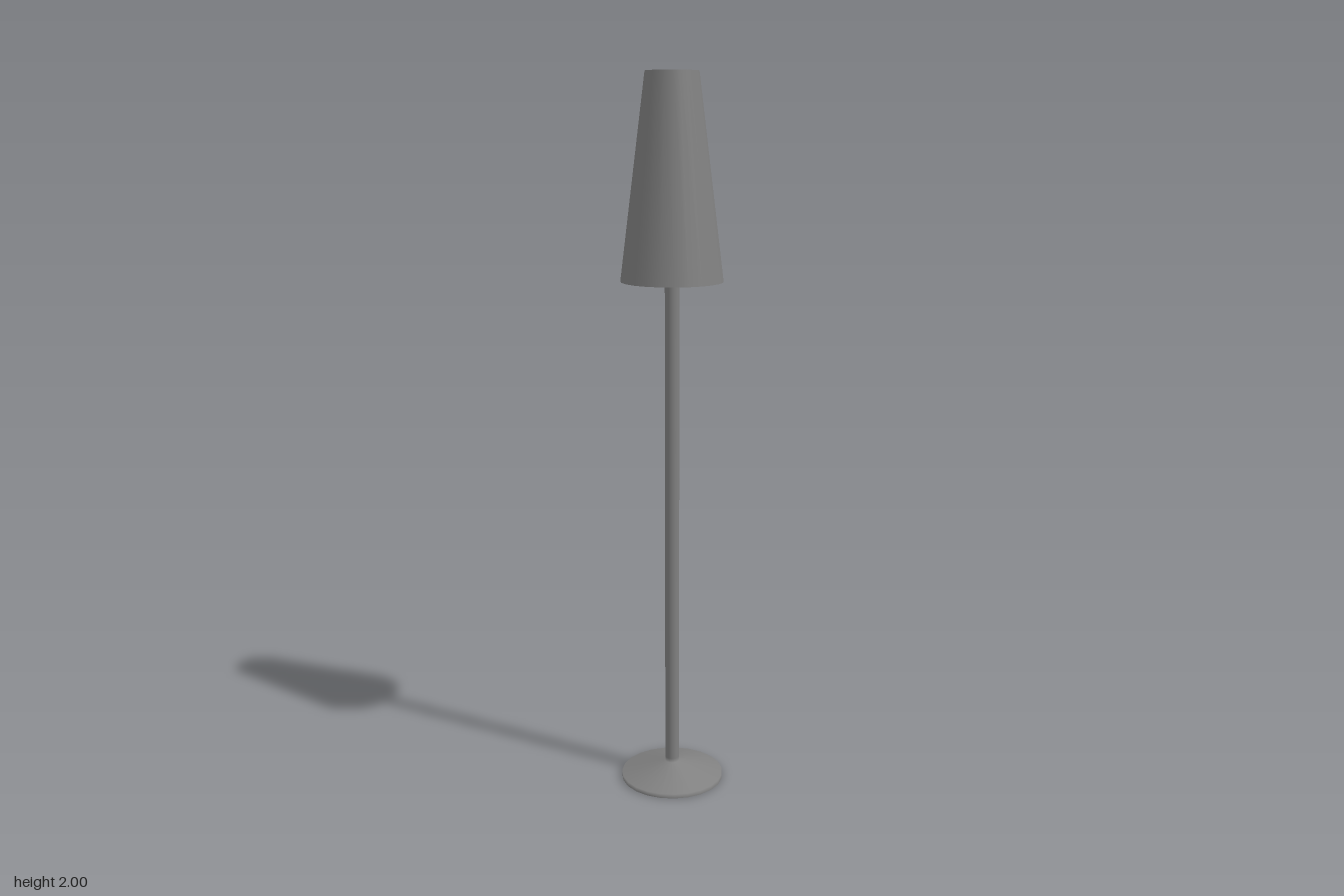
import * as THREE from 'three';

const SIDES = 23;

export function createModel() {
  const lamp = new THREE.Group();
  lamp.name = 'floorLamp';
  const material = new THREE.MeshStandardMaterial({ color: 0x808080, side: THREE.DoubleSide });

  const add = (name, geometry, y = 0) => {
    const mesh = new THREE.Mesh(geometry, material);
    mesh.name = name;
    mesh.position.y = y;
    lamp.add(mesh);
  };
  // Smooth round part from [radius, height] pairs
  const turned = (name, profile, y = 0) => add(name,
    new THREE.LatheGeometry(profile.map(([r, h]) => new THREE.Vector2(r, h)), SIDES, Math.PI / 2), y);

  // Foot: flat underside, low rim and a cone that blends into the pole
  turned('footUnderside', [[0, 0], [0.147, 0]]);
  turned('foot', [[0.147, 0], [0.147, 0.013], [0.02, 0.047], [0.02, 0.06]]);

  // Pole reaching up to the dish inside the shade
  turned('pole', [[0.02, 0.06], [0.02, 1.92]]);

  // Open-bottomed shade
  turned('shade', [[0.14, 1.452], [0.072, 2]]);

  // Concave dish closing the top of the shade
  const dish = [];
  for (let i = 0; i <= 8; i++) {
    const a = (i / 8) * Math.PI / 2;
    dish.push([0.072 * Math.sin(a), -0.08 * Math.cos(a)]);
  }
  turned('shadeDish', dish, 2);

  return lamp;
}
